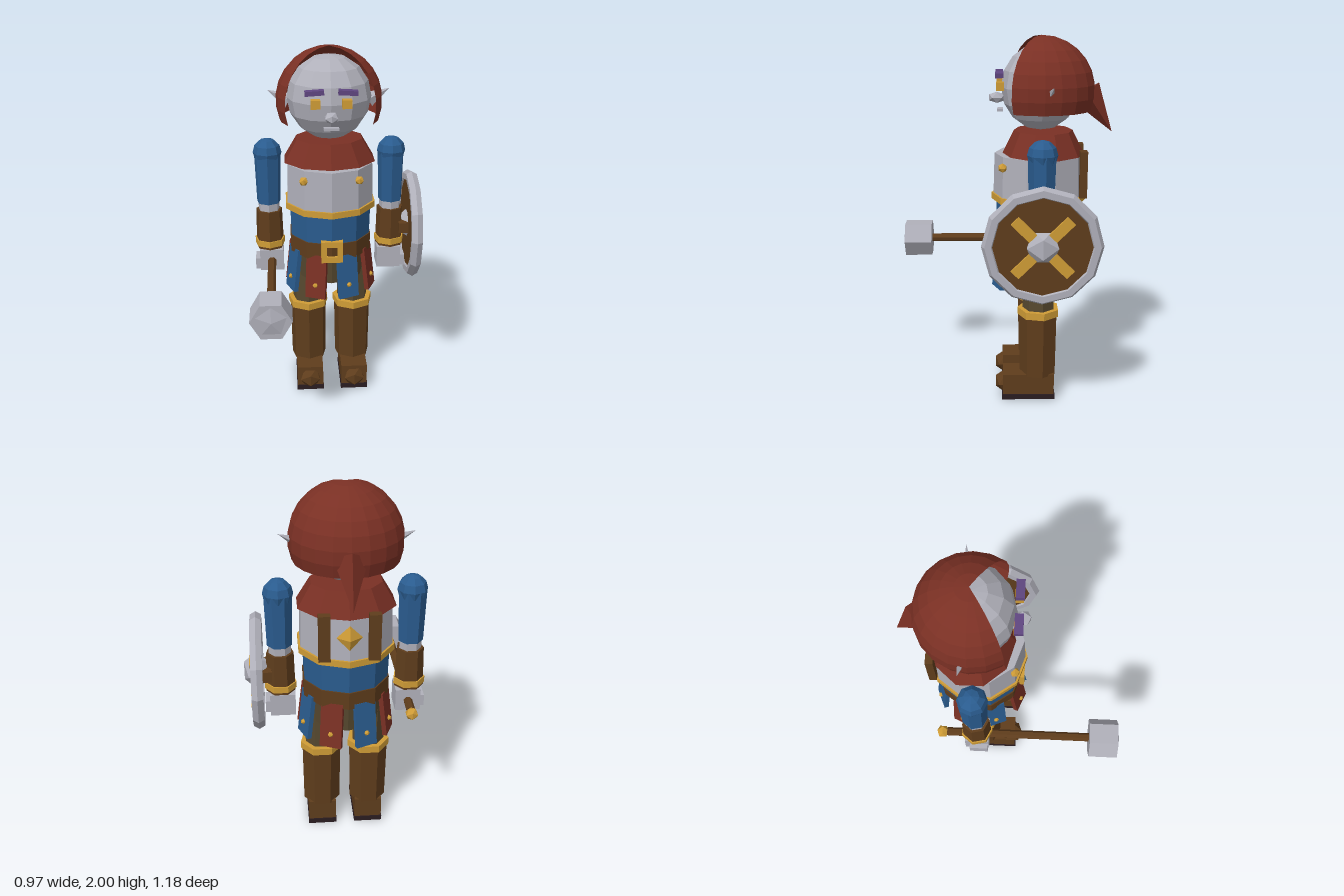
import * as THREE from 'three';

const mat = (name, color) => new THREE.MeshStandardMaterial({ name, color, flatShading: true });
const M = {
  grey: mat('pale grey', 0xb0b0ba),
  red: mat('brick red', 0x7a3024),
  blue: mat('steel blue', 0x2a5c8f),
  brown: mat('leather brown', 0x5f3d1c),
  gold: mat('gold', 0xcf9c36),
  olive: mat('olive trousers', 0x584a30),
  purple: mat('purple', 0x5f4680),
  sole: mat('dark sole', 0x2a1c20),
};
M.red.side = THREE.DoubleSide;

// Adds a named mesh at a position
function add(parent, name, geo, material, x = 0, y = 0, z = 0) {
  const m = new THREE.Mesh(geo, material);
  m.name = name;
  m.position.set(x, y, z);
  parent.add(m);
  return m;
}
const box = (w, h, d) => new THREE.BoxGeometry(w, h, d);
const ico = (r, d = 0) => new THREE.IcosahedronGeometry(r, d);
// Upright tapered prism between two heights
const prism = (y0, y1, r0, r1, n) =>
  new THREE.CylinderGeometry(r1, r0, y1 - y0, n).translate(0, (y0 + y1) / 2, 0);

function buildHead(g) {
  const head = new THREE.Group();
  head.name = 'head';
  g.add(head);
  add(head, 'face', new THREE.SphereGeometry(0.229, 12, 8).scale(1, 1, 0.93), M.grey, 0, 1.73, -0.005);

  // Hood is a sphere with an open wedge at the front
  const open = 0.98;
  add(head, 'hood', new THREE.SphereGeometry(0.288, 14, 8, Math.PI / 2 + open, 2 * (Math.PI - open), 0, 1.93),
    M.red, 0, 1.712, -0.005);
  const tail = add(head, 'hoodTail', new THREE.ConeGeometry(0.085, 0.26, 4), M.red, 0, 1.597, -0.317);
  tail.rotation.x = Math.PI + 0.6;

  for (const s of [-1, 1]) {
    const ear = add(head, 'ear', new THREE.ConeGeometry(0.042, 0.13, 4).scale(1, 1, 0.7), M.grey,
      s * 0.275, 1.73, -0.045);
    ear.rotation.set(-0.3, 0, -s * 1.1);
    add(head, 'eye', box(0.05, 0.045, 0.04), M.gold, s * 0.082, 1.742, 0.213);
    const brow = add(head, 'brow', box(0.1, 0.024, 0.042), M.purple, s * 0.087, 1.803, 0.217);
    brow.rotation.z = -s * 0.06;
  }
  add(head, 'nose', ico(0.04).scale(1, 0.8, 1.2), M.grey, 0, 1.674, 0.23);
  add(head, 'mouth', box(0.08, 0.014, 0.03), M.grey, 0, 1.61, 0.213);
}

function buildBody(g) {
  const body = new THREE.Group();
  body.name = 'body';
  g.add(body);
  add(body, 'collar', prism(1.375, 1.5, 0.262, 0.188, 10).scale(1, 1, 0.84), M.red, 0, 0, -0.02);
  add(body, 'chest', prism(1.13, 1.375, 0.25, 0.243, 10), M.grey);
  add(body, 'chestTrim', prism(1.12, 1.155, 0.26, 0.26, 10), M.gold);
  add(body, 'waist', prism(0.95, 1.12, 0.23, 0.235, 10), M.blue);
  add(body, 'belt', prism(0.86, 0.958, 0.235, 0.237, 10), M.brown);
  add(body, 'hips', prism(0.7, 0.86, 0.19, 0.21, 10), M.olive);

  // Square buckle with a hole
  const frame = new THREE.Shape([[-1, -1], [1, -1], [1, 1], [-1, 1]].map(([x, y]) => new THREE.Vector2(x * 0.06, y * 0.062)));
  frame.holes.push(new THREE.Path([[-1, -1], [-1, 1], [1, 1], [1, -1]].map(([x, y]) => new THREE.Vector2(x * 0.029, y * 0.029))));
  add(body, 'buckle', new THREE.ExtrudeGeometry(frame, { depth: 0.035, bevelEnabled: false }), M.gold, 0, 0.917, 0.212);

  // Chest studs, back straps and back gem
  for (const s of [-1, 1]) {
    add(body, 'chestStud', ico(0.026), M.gold, s * 0.15, 1.32, 0.2);
    add(body, 'backStrap', box(0.06, 0.25, 0.04), M.brown, s * 0.125, 1.28, -0.23);
  }
  add(body, 'backGem', new THREE.OctahedronGeometry(1).scale(0.065, 0.125, 0.045), M.gold, 0, 1.275, -0.225);

  // Ring of alternating skirt plates
  for (let i = 0; i < 8; i++) {
    const holder = new THREE.Group();
    holder.name = 'skirtPlate';
    holder.rotation.y = (i + 0.5) * Math.PI / 4;
    body.add(holder);
    const plate = add(holder, 'plate', box(0.118, 0.255, 0.025), i % 2 ? M.red : M.blue, 0, 0.757, 0.228);
    plate.rotation.x = -0.12;
    add(plate, 'plateStud', ico(0.015), M.gold, 0, -0.05, 0.015);
  }
}

function buildLeg(g, s) {
  const leg = new THREE.Group();
  leg.name = s > 0 ? 'leftLeg' : 'rightLeg';
  leg.position.x = s * 0.13;
  g.add(leg);
  add(leg, 'thigh', prism(0.5, 0.8, 0.088, 0.095, 7), M.olive);
  add(leg, 'bootShaft', prism(0.14, 0.5, 0.103, 0.108, 7), M.brown);
  add(leg, 'bootCuff', prism(0.488, 0.528, 0.117, 0.117, 7), M.gold);
  add(leg, 'boot', box(0.152, 0.12, 0.285), M.brown, 0, 0.09, 0.055);
  add(leg, 'toe', ico(0.07, 0).scale(0.95, 0.9, 0.85), M.brown, 0, 0.078, 0.188);
  add(leg, 'sole', box(0.158, 0.03, 0.295), M.sole, 0, 0.015, 0.055);
}

function buildArm(g, s) {
  const arm = new THREE.Group();
  arm.name = s > 0 ? 'leftArm' : 'rightArm';
  arm.position.x = s * 0.343;
  g.add(arm);
  add(arm, 'shoulder', new THREE.SphereGeometry(0.079, 8, 6), M.blue, 0, 1.425, 0);
  add(arm, 'upperArm', prism(1.135, 1.425, 0.067, 0.075, 7), M.blue);
  add(arm, 'elbow', prism(1.07, 1.145, 0.06, 0.06, 7), M.grey);
  add(arm, 'forearm', prism(0.865, 1.09, 0.08, 0.074, 7), M.brown);
  add(arm, 'wristBand', prism(0.88, 0.915, 0.086, 0.086, 7), M.gold);
  add(arm, 'hand', box(0.135, 0.125, 0.13), M.grey, -s * 0.008, 0.797, 0);
  add(arm, 'thumb', box(0.035, 0.065, 0.1), M.grey, s * 0.067, 0.775, 0.01);
}

function buildMace(g) {
  const mace = new THREE.Group();
  mace.name = 'mace';
  mace.position.set(-0.335, 0.793, 0);
  g.add(mace);
  const along = geo => geo.rotateX(Math.PI / 2);
  add(mace, 'maceShaft', along(new THREE.CylinderGeometry(0.024, 0.024, 0.8, 7)), M.brown, 0, 0, 0.23);
  add(mace, 'maceHead', along(new THREE.CylinderGeometry(0.108, 0.108, 0.157, 6).rotateY(Math.PI / 6)), M.grey, 0, 0, 0.698);
  add(mace, 'maceTip', along(new THREE.ConeGeometry(0.085, 0.014, 5).rotateY(Math.PI)), M.grey, 0, 0, 0.783);
  add(mace, 'pommel', ico(0.036), M.gold, 0, 0, -0.195);
}

function buildShield(g) {
  // Built facing +z, then turned to face the model's left
  const shield = new THREE.Group();
  shield.name = 'shield';
  shield.position.set(0.463, 0.983, 0);
  shield.rotation.y = Math.PI / 2;
  g.add(shield);
  add(shield, 'shieldBoard', new THREE.CylinderGeometry(0.28, 0.28, 0.04, 12).rotateX(Math.PI / 2), M.brown);
  add(shield, 'shieldRim', new THREE.TorusGeometry(0.277, 0.034, 6, 12), M.grey);
  add(shield, 'boss', ico(0.1, 0).scale(0.95, 1, 0.75), M.grey, 0, 0, 0.005);
  for (let i = 0; i < 4; i++) {
    const a = Math.PI / 4 + i * Math.PI / 2;
    const bar = add(shield, 'shieldBar', box(0.13, 0.055, 0.02), M.gold, Math.cos(a) * 0.135, Math.sin(a) * 0.135, 0.026);
    bar.rotation.z = a;
  }
  add(shield, 'handle', box(0.17, 0.06, 0.06), M.brown, 0, 0, -0.045);
}

export function createModel() {
  const model = new THREE.Group();
  model.name = 'warrior';
  const figure = new THREE.Group();
  figure.name = 'figure';
  figure.position.set(-0.048, 0, -0.2);
  model.add(figure);
  buildHead(figure);
  buildBody(figure);
  for (const s of [-1, 1]) {
    buildLeg(figure, s);
    buildArm(figure, s);
  }
  buildMace(figure);
  buildShield(figure);
  return model;
}
